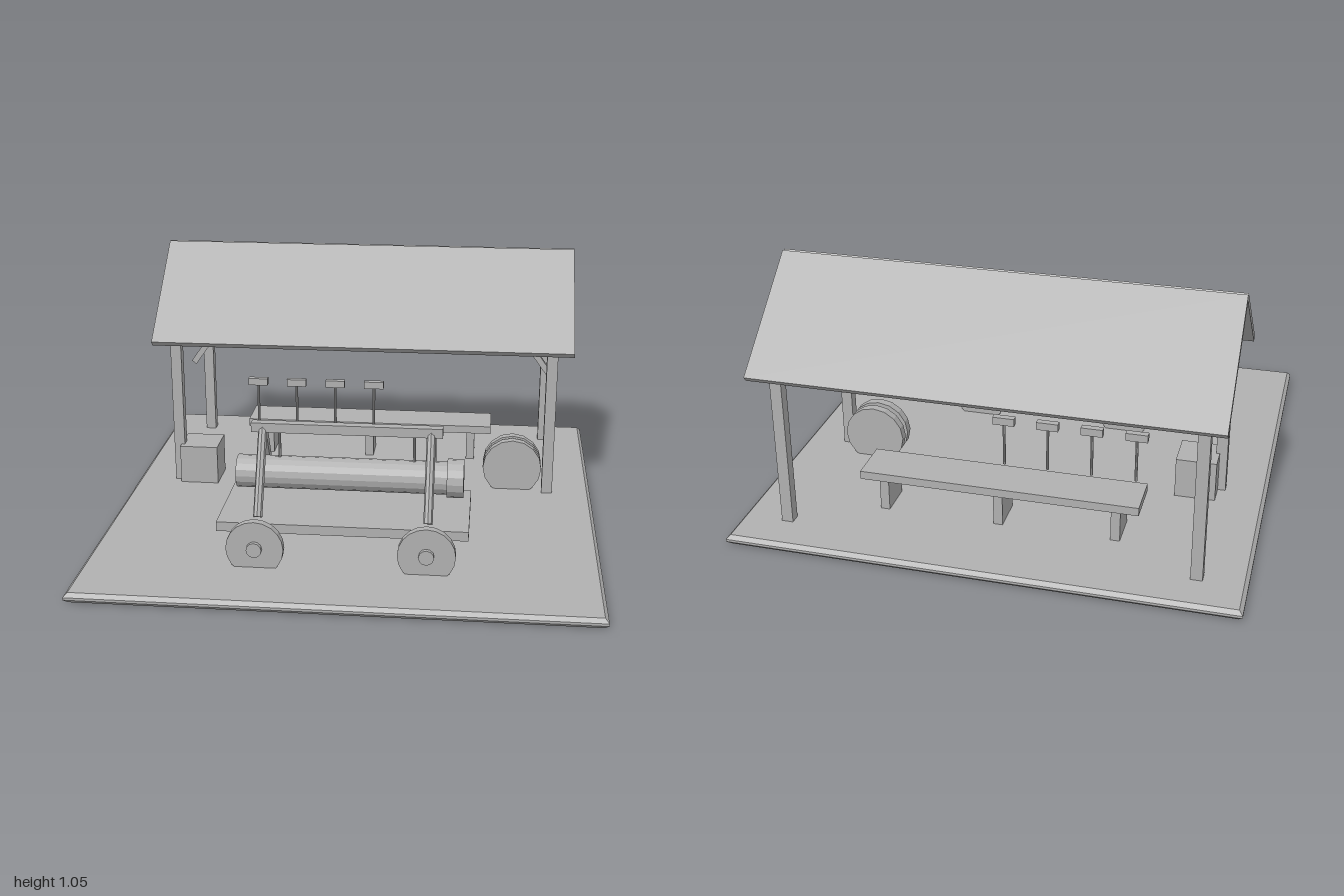
import * as THREE from 'three';

const stone = new THREE.MeshStandardMaterial({ color: 0xb0b0b0, flatShading: true });
stone.name = 'plain grey';

export function createModel() {
  const root = new THREE.Group();
  root.name = 'ramYard';

  const group = (name) => {
    const g = new THREE.Group();
    g.name = name;
    root.add(g);
    return g;
  };
  const add = (parent, name, geometry, x, y, z) => {
    const m = new THREE.Mesh(geometry, stone);
    m.name = name;
    m.position.set(x, y, z);
    parent.add(m);
    return m;
  };
  const box = (parent, name, w, h, d, x, y, z) =>
    add(parent, name, new THREE.BoxGeometry(w, h, d), x, y, z);
  // Cylinder lying along x, y or z
  const rod = (parent, name, axis, r, length, x, y, z, sides = 16) => {
    const g = new THREE.CylinderGeometry(r, r, length, sides);
    if (axis === 'x') g.rotateZ(-Math.PI / 2);
    if (axis === 'z') g.rotateX(Math.PI / 2);
    return add(parent, name, g, x, y, z);
  };

  // Ground slab with chamfered rim
  const s = 0.985;
  const square = new THREE.Shape([[-s, -s], [s, -s], [s, s], [-s, s]].map(([x, y]) => new THREE.Vector2(x, y)));
  const slab = new THREE.ExtrudeGeometry(square, {
    depth: 0.01, bevelEnabled: true, bevelSize: 0.015, bevelThickness: 0.015, bevelSegments: 1,
  });
  slab.rotateX(-Math.PI / 2);
  add(root, 'ground', slab, 0, 0.015, 0);

  // Open shed: posts, gable braces and two roof panels
  const shed = group('shed');
  for (const side of [-1, 1]) {
    for (const z of [-0.16, -0.82]) box(shed, 'post', 0.046, 0.645, 0.044, side * 0.81, 0.3575, z);
    const brace = box(shed, 'brace', 0.244, 0.026, 0.026, side * 0.738, 0.58, -0.49);
    brace.rotation.z = -side * 0.951;
    const panel = box(shed, 'roofPanel', 1.795, 0.026, 0.545, 0, 0.862, -0.492 + side * 0.208);
    panel.rotation.x = side * 0.698;
  }

  // Cart: bed, axles and wheels
  const cart = group('cart');
  box(cart, 'bed', 0.974, 0.038, 0.41, 0, 0.181, 0.45);
  for (const x of [-0.33, 0.33]) {
    rod(cart, 'axle', 'z', 0.017, 0.47, x, 0.117, 0.465, 10);
    for (const z of [0.237, 0.693]) {
      rod(cart, 'wheel', 'z', 0.112, 0.032, x, 0.116, z, 20);
      rod(cart, 'hub', 'z', 0.03, 0.03, x, 0.118, z + 0.018, 12);
    }
  }

  // Hanging ram under an A-frame
  const ram = group('ram');
  rod(ram, 'ramLog', 'x', 0.065, 0.828, -0.019, 0.335, 0.45);
  rod(ram, 'ramHead', 'x', 0.076, 0.065, 0.4275, 0.335, 0.45);
  box(ram, 'topBeam', 0.75, 0.038, 0.038, 0, 0.524, 0.45);
  for (const side of [-1, 1]) {
    rod(ram, 'rope', 'y', 0.006, 0.15, side * 0.265, 0.445, 0.45, 8);
    for (const dir of [-1, 1]) {
      const leg = rod(ram, 'frameLeg', 'y', 0.018, 0.35, side * 0.33, 0.365, 0.45 + dir * 0.084, 8);
      leg.rotation.x = -dir * 0.485;
    }
  }

  // Workbench
  const bench = group('workbench');
  box(bench, 'benchTop', 1.12, 0.034, 0.187, 0, 0.192, -0.582);
  for (const x of [-0.468, 0, 0.468]) box(bench, 'benchLeg', 0.037, 0.14, 0.145, x, 0.106, -0.585);

  // Row of hammers standing in front of the bench
  const hammers = group('hammers');
  for (let i = 0; i < 4; i++) {
    const x = -0.51 + i * 0.178;
    rod(hammers, 'hammerHandle', 'y', 0.006, 0.19, x, 0.3, -0.47, 8);
    box(hammers, 'hammerHead', 0.088, 0.032, 0.027, x, 0.401, -0.47);
  }

  // Crate and spare wheels beside the front posts
  box(root, 'crate', 0.165, 0.17, 0.165, -0.719, 0.123, -0.189);
  for (const z of [-0.187, -0.247]) rod(root, 'spareWheel', 'z', 0.127, 0.036, 0.657, 0.138, z, 16);

  return root;
}
